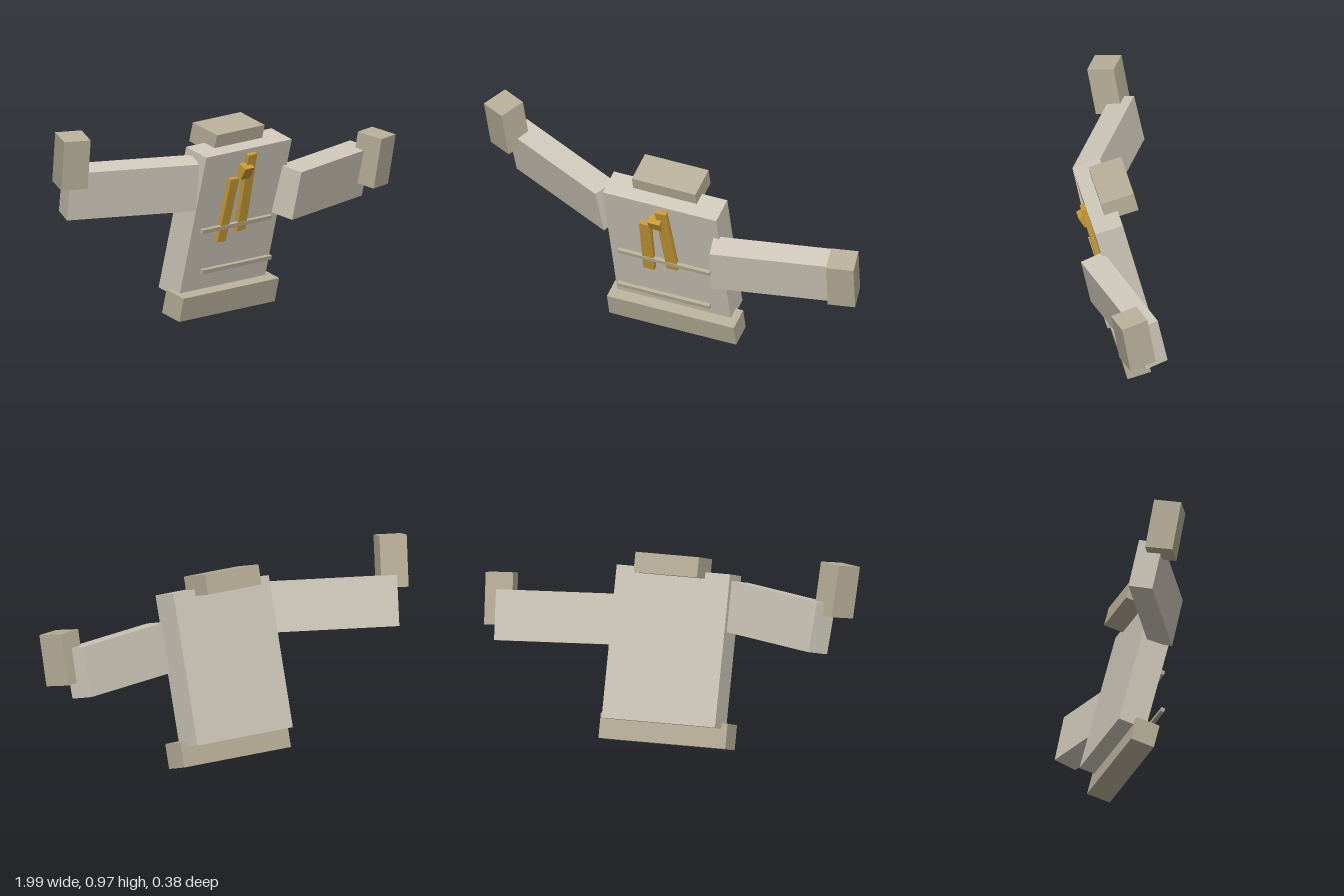
import * as THREE from 'three';

const material = (color) => new THREE.MeshStandardMaterial({ color, flatShading: true });

export function createModel() {
  const cloth = material(0xcfc8ba);
  const trim = material(0xb8af99);
  const gold = material(0xc79a36);
  const model = new THREE.Group();
  model.name = 'jacket';

  // Box at a position, leaning forward by pitch, turned by yaw, rolled by roll (degrees)
  const addBox = (name, mat, size, position, yaw, pitch, roll = 0) => {
    const mesh = new THREE.Mesh(new THREE.BoxGeometry(...size), mat);
    mesh.name = name;
    mesh.position.set(...position);
    const [x, y, z] = [pitch, yaw, roll].map(THREE.MathUtils.degToRad);
    mesh.rotation.set(x, y, z, 'YXZ');
    model.add(mesh);
    return mesh;
  };

  // Body, collar and hem share one forward lean
  addBox('torso', cloth, [0.575, 0.717, 0.135], [0, 0.466, 0], 7, 14.3);
  addBox('collar', trim, [0.322, 0.095, 0.16], [0, 0.85, 0.013], 7, 14);
  addBox('hem', trim, [0.643, 0.118, 0.115], [0, 0.07, -0.034], 7, 14);

  // Horizontal seams across the front
  for (const y of [0.427, 0.236]) {
    addBox('seam', trim, [0.465, 0.02, 0.018], [0, y, 0.078], 7, 14);
  }

  // Swept-back sleeves, the right one raised higher
  for (const [side, label, lift] of [[1, 'left', 0], [-1, 'right', 0.12]]) {
    addBox(label + 'Sleeve', cloth, [0.636, 0.237, 0.115],
      [side * 0.578, 0.546 + lift, 0], side * 20, 12.3);
    addBox(label + 'Cuff', trim, [0.13, 0.243, 0.13],
      [side * 0.907, 0.605 + lift * 1.92, -0.022], side * 20, 10);
  }

  // Tied ribbon: two hanging strips and a knot
  addBox('leftRibbon', gold, [0.056, 0.39, 0.028], [0.033, 0.583, 0.106], 7, 14.3, 3);
  addBox('rightRibbon', gold, [0.056, 0.318, 0.028], [-0.075, 0.512, 0.1], 7, 14.3, -2);
  addBox('knot', gold, [0.062, 0.062, 0.045], [-0.003, 0.693, 0.147], 7, 30);

  return model;
}
